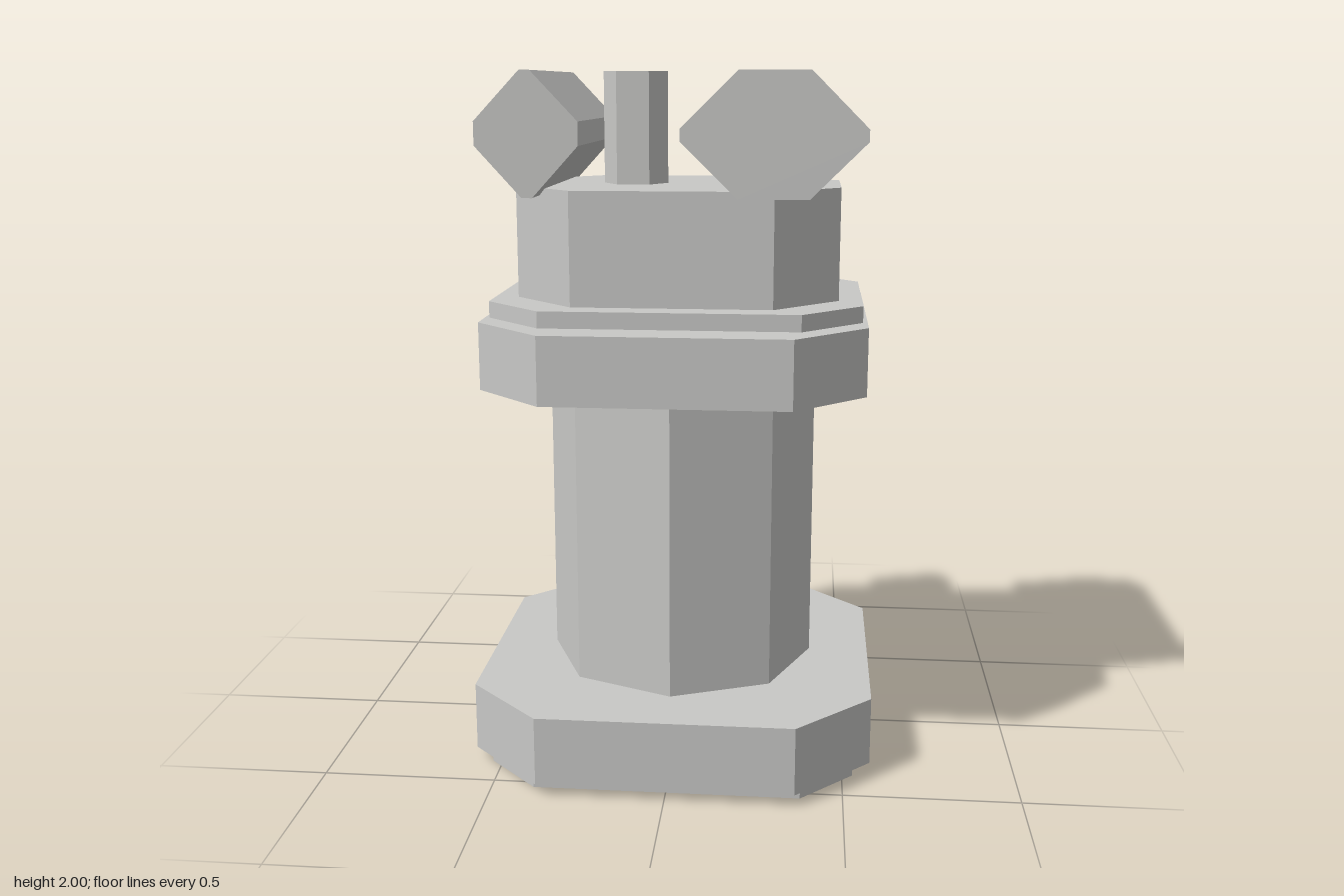
import * as THREE from 'three';

export function createModel() {
  const model = new THREE.Group();
  model.name = 'pedestal';
  const grey = new THREE.MeshStandardMaterial({ color: 0xc8c8c6 });
  grey.name = 'stone grey';

  const add = (name, geometry) => {
    const flat = geometry.index ? geometry.toNonIndexed() : geometry;
    flat.computeVertexNormals();
    const mesh = new THREE.Mesh(flat, grey);
    mesh.name = name;
    model.add(mesh);
  };

  const extrude = (points, depth) => new THREE.ExtrudeGeometry(
    new THREE.Shape(points.map(([x, y]) => new THREE.Vector2(x, y))),
    { depth, bevelEnabled: false });

  // Upright block with cut corners: half sizes hx, hz and half flats fx, fz
  const block = (name, y0, y1, hx, hz, fx, fz) => {
    const outline = [[fx, -hz], [hx, -fz], [hx, fz], [fx, hz], [-fx, hz], [-hx, fz], [-hx, -fz], [-fx, -hz]];
    add(name, extrude(outline, y1 - y0).rotateX(-Math.PI / 2).translate(0, y0, 0));
  };

  // Upright prism with one corner on the +x axis
  const prism = (name, sides, r, y0, y1, x) =>
    add(name, new THREE.CylinderGeometry(r, r, y1 - y0, sides)
      .rotateY(Math.PI / 2).translate(x, (y0 + y1) / 2, 0));

  // Horizontal bar running front to back, with an eight-cornered section
  const bar = (name, x0, x1, flat0, flat1, low, high) => {
    const section = [[flat0, 1.66], [flat1, 1.66], [x1, low], [x1, high],
      [flat1, 2], [flat0, 2], [x0, high], [x0, low]];
    add(name, extrude(section, 0.72).translate(0, 0, -0.36));
  };

  // Stepped base and column
  block('foot', 0, 0.04, 0.53, 0.53, 0.38, 0.38);
  block('base', 0.035, 0.235, 0.58, 0.58, 0.365, 0.365);
  prism('column', 8, 0.4, 0.23, 1.13, 0);

  // Collar and head
  block('collar', 1.12, 1.313, 0.543, 0.543, 0.342, 0.342);
  block('collarStep', 1.31, 1.36, 0.53, 0.427, 0.36, 0.255);
  block('head', 1.355, 1.68, 0.463, 0.349, 0.281, 0.16);

  // Top fittings
  prism('post', 6, 0.094, 1.67, 2, -0.135);
  bar('wideBar', 0.025, 0.53, 0.182, 0.375, 1.813, 1.846);
  bar('narrowBar', -0.535, -0.25, -0.407, -0.378, 1.8, 1.865);

  return model;
}
